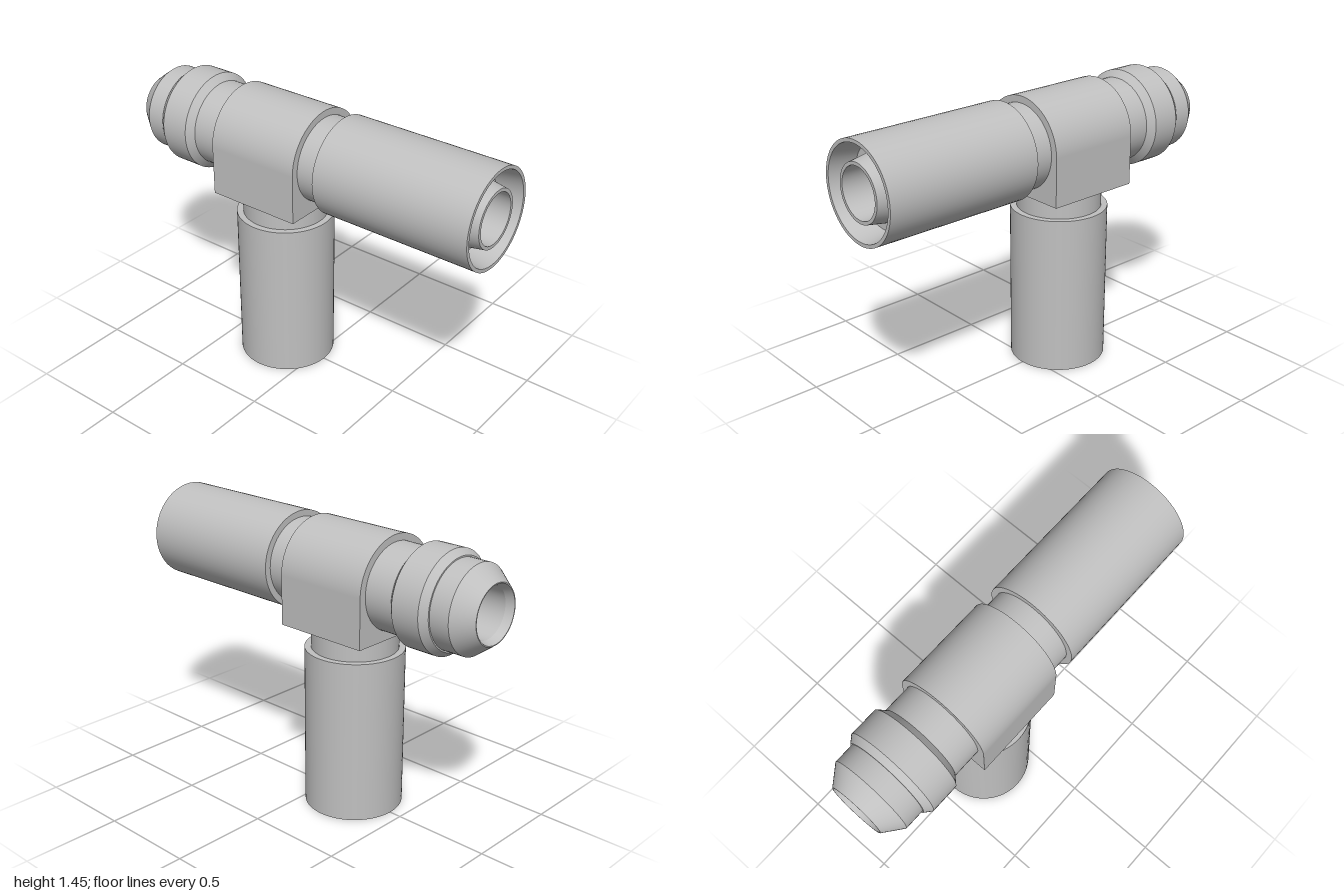
import * as THREE from 'three';
import { mergeGeometries } from 'three/addons/utils/BufferGeometryUtils.js';

const SEG = 64;
const HALF = 0.25;   // half size of the tee block
const BORE = 0.126;  // bore radius
const NECK = 0.215;  // neck radius

// Lathe with a hard edge at every profile point; points are [radius, height]
function turned(points) {
  const bands = [];
  for (let i = 0; i + 1 < points.length; i++) {
    const pair = [points[i], points[i + 1]].map(([r, y]) => new THREE.Vector2(r, y));
    bands.push(new THREE.LatheGeometry(pair, SEG));
  }
  return mergeGeometries(bands);
}

// Inward-facing bore whose inner end is cut where the bores meet
function boreWall(end, start) {
  const geo = new THREE.LatheGeometry([new THREE.Vector2(BORE, end), new THREE.Vector2(BORE, 0)], SEG);
  const p = geo.attributes.position;
  for (let i = 0; i < p.count; i++) {
    if (p.getY(i) < 1e-6) p.setY(i, start(p.getX(i)));
  }
  return geo;
}

// Block with a rounded top, bored along x and from below
function blockGeometry() {
  const parts = [];
  const end = new THREE.Shape();
  end.moveTo(-HALF, -HALF);
  end.lineTo(HALF, -HALF);
  end.lineTo(HALF, 0);
  end.absarc(0, 0, HALF, 0, Math.PI, false);
  end.lineTo(-HALF, -HALF);
  const hole = new THREE.Path().absarc(0, 0, BORE, 0, Math.PI * 2, true);
  end.holes.push(hole);

  const base = new THREE.Shape();
  base.moveTo(-HALF, -HALF);
  base.lineTo(HALF, -HALF);
  base.lineTo(HALF, HALF);
  base.lineTo(-HALF, HALF);
  base.holes.push(hole);

  for (const s of [-1, 1]) {
    parts.push(new THREE.ShapeGeometry(end, 32).rotateY(s * Math.PI / 2).translate(s * HALF, 0, 0));
    const side = new THREE.PlaneGeometry(2 * HALF, HALF).translate(0, -HALF / 2, HALF);
    parts.push(s > 0 ? side : side.rotateY(Math.PI));
  }
  parts.push(new THREE.ShapeGeometry(base, 32).rotateX(Math.PI / 2).translate(0, -HALF, 0));
  // Half cylinder over the top
  parts.push(new THREE.CylinderGeometry(HALF, HALF, 2 * HALF, 32, 1, true, 0, Math.PI).rotateZ(Math.PI / 2));
  return mergeGeometries(parts);
}

export function createModel() {
  const steel = new THREE.MeshStandardMaterial({ color: 0xc0c0c0 });
  steel.name = 'steelGrey';

  const model = new THREE.Group();
  model.name = 'teeFitting';
  const tee = new THREE.Group();
  tee.name = 'tee';
  tee.position.set(-0.19, 1.195, 0);
  model.add(tee);

  const add = (parent, name, geometry) => {
    const mesh = new THREE.Mesh(geometry, steel);
    mesh.name = name;
    parent.add(mesh);
  };
  const arm = (name, angle) => {
    const group = new THREE.Group();
    group.name = name;
    group.rotation.z = angle;
    tee.add(group);
    return group;
  };

  add(tee, 'block', blockGeometry());

  // Arm with a neck, a sleeve nut and a tapered nose inside its mouth
  function sleeveArm(name, angle, length, start) {
    const group = arm(name, angle);
    const floor = length - 0.13;
    add(group, 'neck', turned([[NECK, HALF], [NECK, 0.37]]));
    add(group, 'sleeve', turned([
      [NECK, 0.362], [0.247, 0.362], [0.247, length], [0.229, length], [0.207, floor], [0.164, floor],
    ]));
    add(group, 'nose', turned([[0.164, floor], [0.143, length - 0.005], [BORE, length - 0.005]]));
    add(group, 'bore', boreWall(length - 0.005, start));
  }
  sleeveArm('sideArm', -Math.PI / 2, 1.19, x => Math.max(0, x));
  sleeveArm('lowerArm', Math.PI, 1.195, x => Math.abs(x));

  // Plug arm with a chamfered collar and a conical tip
  const plug = arm('plugArm', Math.PI / 2);
  add(plug, 'neck', turned([[NECK, HALF], [NECK, 0.4]]));
  add(plug, 'collar', turned([[NECK, 0.4], [0.25, 0.432], [0.25, 0.58], [0.222, 0.615], [NECK, 0.615]]));
  add(plug, 'tip', turned([[NECK, 0.615], [NECK, 0.717], [0.145, 0.81], [0.14, 0.81], [BORE, 0.77]]));
  add(plug, 'bore', boreWall(0.77, x => Math.max(0, -x)));

  return model;
}
